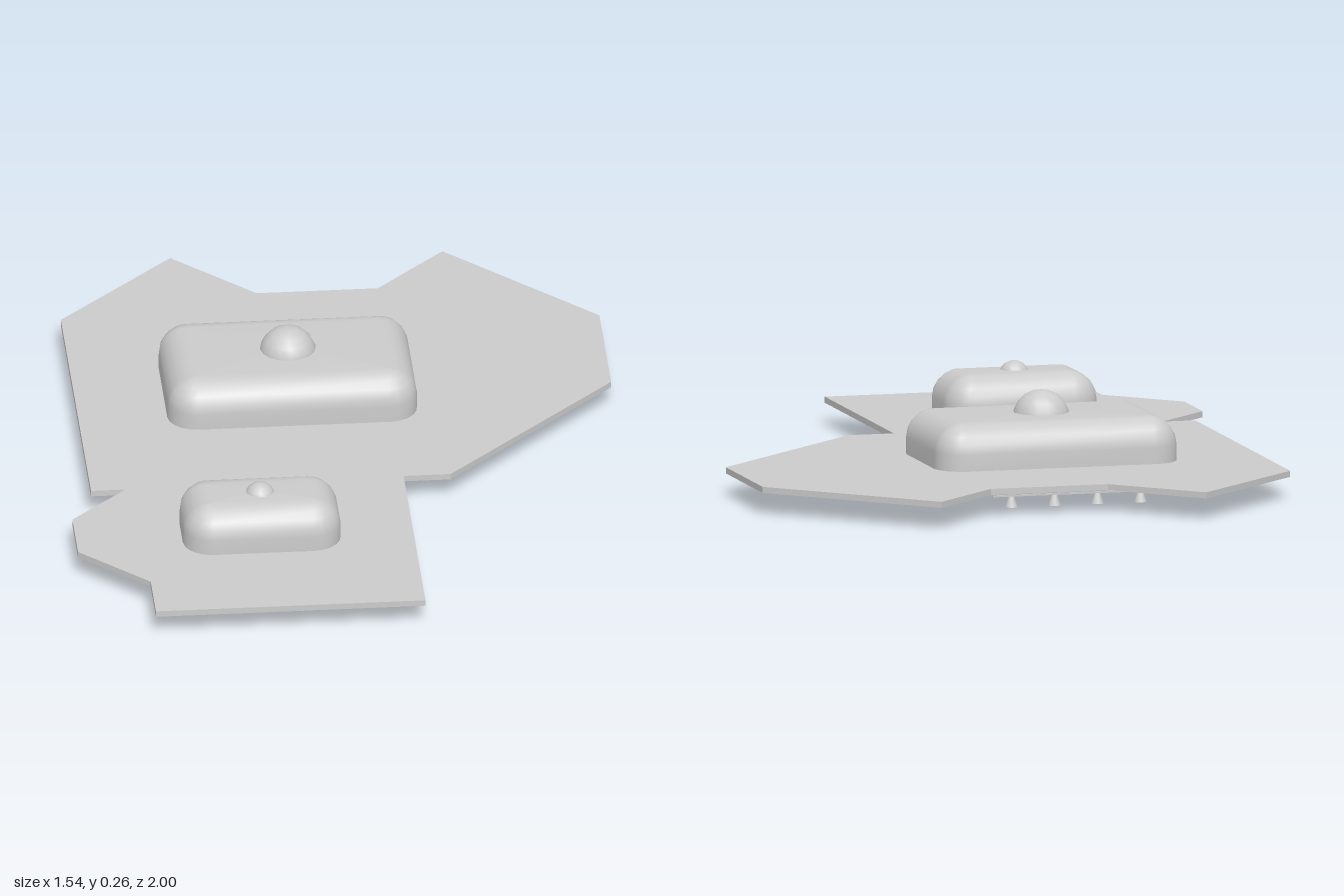
import * as THREE from 'three';

const material = new THREE.MeshStandardMaterial({ color: 0xcccccc, side: THREE.DoubleSide });

// Skylights: centre, half sizes, globe radius and globe centre height
const skylights = [
  { name: 'rearSkylight', x: -0.12, z: -0.238, hx: 0.345, hz: 0.218, globe: 0.08, globeY: 0.185, top: 0.203 },
  { name: 'frontSkylight', x: -0.265, z: 0.562, hx: 0.218, hz: 0.132, globe: 0.043, globeY: 0.182, top: 0.2 },
];

// Lamp rows: rail ends, first lamp, last lamp (all x, z) and lamp count
const lampRows = [
  { name: 'frontLampRow', rail: [-0.43, 0.875, 0, 0.875], lamps: [-0.415, 0.875, -0.055, 0.875], count: 4 },
  { name: 'rearLampRow', rail: [-0.355, -0.62, 0.125, -0.62], lamps: [-0.297, -0.62, 0.072, -0.62], count: 4 },
  { name: 'sideLampRow', rail: [-0.555, -0.48, -0.555, 0], lamps: [-0.555, -0.42, -0.555, -0.05], count: 4 },
  { name: 'longDiagonalLampRow', rail: [0.255, 0.125, 0.595, -0.215], lamps: [0.308, 0.072, 0.57, -0.19], count: 4 },
  { name: 'shortDiagonalLampRow', rail: [-0.69, 0.535, -0.53, 0.375], lamps: [-0.675, 0.52, -0.555, 0.4], count: 3 },
];

function addMesh(parent, name, geometry, x = 0, y = 0, z = 0) {
  const mesh = new THREE.Mesh(geometry, material);
  mesh.name = name;
  mesh.position.set(x, y, z);
  parent.add(mesh);
  return mesh;
}

// Points of a rounded rectangle, four corner arcs
function roundedRect(hx, hz, r, segments = 5) {
  const points = [];
  [[1, 1], [-1, 1], [-1, -1], [1, -1]].forEach(([sx, sz], corner) => {
    for (let i = 0; i <= segments; i++) {
      const a = (corner + i / segments) * Math.PI / 2;
      points.push(new THREE.Vector2(sx * (hx - r) + r * Math.cos(a), sz * (hz - r) + r * Math.sin(a)));
    }
  });
  return points;
}

// Flat slab: shape drawn in x, z and extruded downwards
function slab(points, holes, depth) {
  const shape = new THREE.Shape(points);
  holes.forEach((h) => shape.holes.push(new THREE.Path(h)));
  return new THREE.ExtrudeGeometry(shape, { depth, bevelEnabled: false }).rotateX(Math.PI / 2);
}

// Hollow rounded hood, open below: rings that curl inwards to a flat top
function hoodGeometry(hx, hz, r, bottom, top) {
  const rings = [[0, bottom]];
  const steps = 5;
  for (let i = 0; i <= steps; i++) {
    const a = (i / steps) * Math.PI / 2;
    rings.push([r * (1 - Math.cos(a)), top - r + r * Math.sin(a)]);
  }
  const positions = [];
  const index = [];
  let n = 0;
  for (const [inset, y] of rings) {
    const ring = roundedRect(hx - inset, hz - inset, Math.max(r - inset, 0.0005));
    n = ring.length;
    ring.forEach((p) => positions.push(p.x, y, p.y));
  }
  for (let j = 0; j < rings.length - 1; j++) {
    for (let i = 0; i < n; i++) {
      const a = j * n + i, b = j * n + (i + 1) % n;
      index.push(a, a + n, b, b, a + n, b + n);
    }
  }
  // Flat top
  const last = (rings.length - 1) * n;
  const centre = positions.length / 3;
  positions.push(0, top, 0);
  for (let i = 0; i < n; i++) index.push(last + i, centre, last + (i + 1) % n);
  const geometry = new THREE.BufferGeometry();
  geometry.setAttribute('position', new THREE.Float32BufferAttribute(positions, 3));
  geometry.setIndex(index);
  geometry.computeVertexNormals();
  return geometry;
}

function createSkylight(s) {
  const group = new THREE.Group();
  group.name = s.name;
  group.position.set(s.x, 0, s.z);
  addMesh(group, 'hood', hoodGeometry(s.hx, s.hz, 0.08, 0.07, s.top));
  const trim = slab(roundedRect(s.hx - 0.025, s.hz - 0.025, 0.07), [roundedRect(s.hx - 0.037, s.hz - 0.037, 0.06)], 0.014);
  addMesh(group, 'openingTrim', trim, 0, 0.061, 0);
  addMesh(group, 'globe', new THREE.SphereGeometry(s.globe, 16, 10), 0, s.globeY, 0);
  return group;
}

function createLampRow(row) {
  const group = new THREE.Group();
  group.name = row.name;
  const [x0, z0, x1, z1] = row.rail;
  const length = Math.hypot(x1 - x0, z1 - z0);
  const rail = addMesh(group, 'rail', new THREE.BoxGeometry(length, 0.005, 0.005), (x0 + x1) / 2, 0.031, (z0 + z1) / 2);
  rail.rotation.y = -Math.atan2(z1 - z0, x1 - x0);
  // Hangers at both rail ends
  for (const [x, z] of [[x0, z0], [x1, z1]]) {
    addMesh(group, 'hanger', new THREE.BoxGeometry(0.004, 0.032, 0.004), x, 0.046, z);
  }
  // Conical lamp shades
  const [a, b, c, d] = row.lamps;
  for (let i = 0; i < row.count; i++) {
    const t = i / (row.count - 1);
    addMesh(group, 'lampShade', new THREE.CylinderGeometry(0.008, 0.018, 0.029, 12), a + (c - a) * t, 0.0145, b + (d - b) * t);
  }
  return group;
}

export function createModel() {
  const model = new THREE.Group();
  model.name = 'ceilingWithSkylights';

  // Ceiling plate with an opening under each skylight
  const outline = [
    [-0.38, -1], [-0.16, -0.78], [0.175, -0.78], [0.37, -0.975], [0.77, -0.575], [0.77, -0.195],
    [0.285, 0.29], [0.155, 0.29], [0.155, 1], [-0.59, 1], [-0.59, 0.83], [-0.775, 0.645],
    [-0.775, 0.46], [-0.615, 0.302], [-0.71, 0.302], [-0.71, -0.675],
  ].map(([x, z]) => new THREE.Vector2(x, z));
  const openings = skylights.map((s) => roundedRect(s.hx - 0.037, s.hz - 0.037, 0.06)
    .map((p) => p.add(new THREE.Vector2(s.x, s.z))));
  addMesh(model, 'ceilingPlate', slab(outline, openings, 0.017), 0, 0.077, 0);

  skylights.forEach((s) => model.add(createSkylight(s)));
  lampRows.forEach((row) => model.add(createLampRow(row)));
  return model;
}
